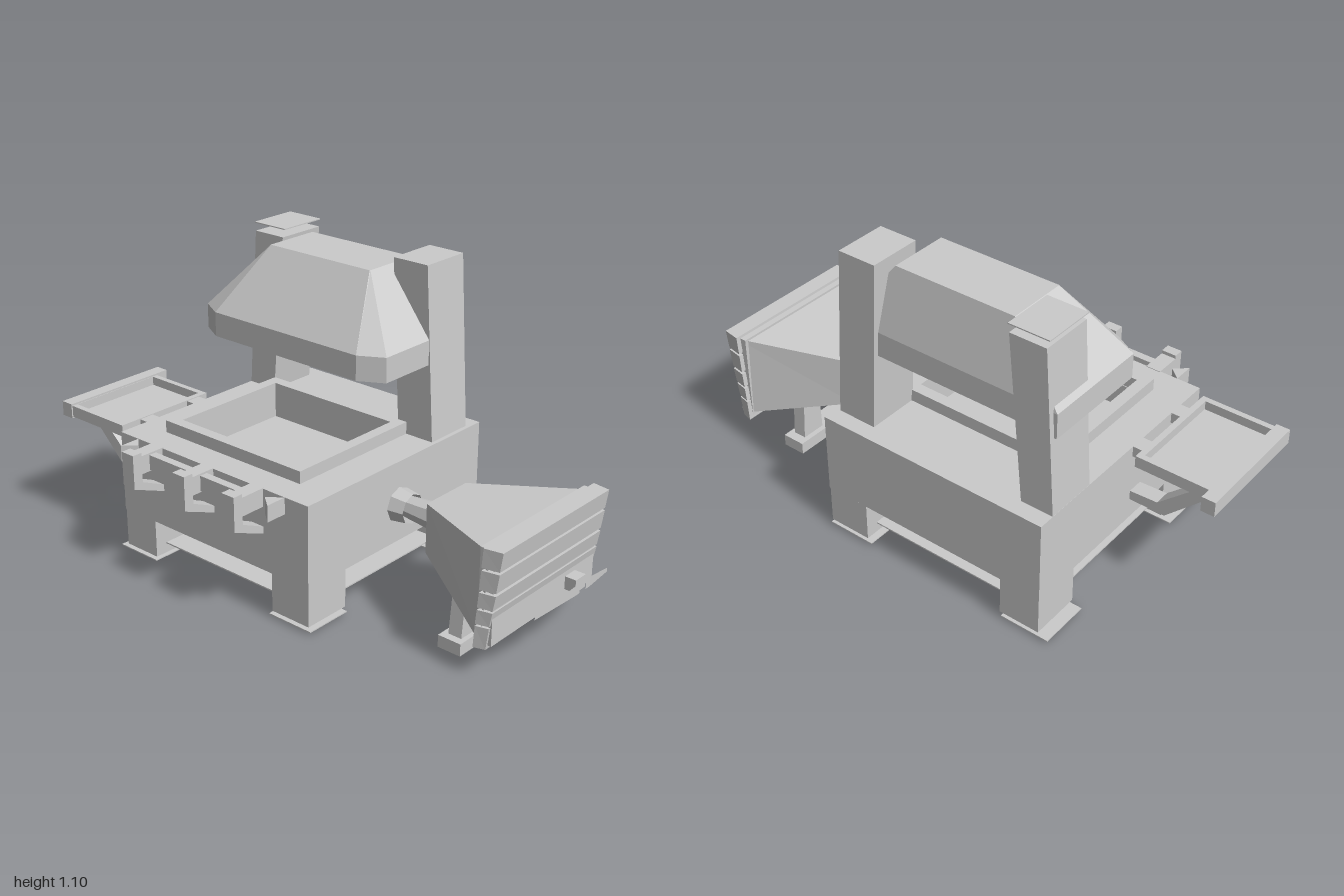
import * as THREE from 'three';

const mat = new THREE.MeshStandardMaterial({ color: 0xcccccc, flatShading: true, side: THREE.DoubleSide });

export function createModel() {
  const model = new THREE.Group();
  const add = (name, geo) => {
    const m = new THREE.Mesh(geo, mat);
    m.name = name;
    model.add(m);
    return m;
  };
  // Box given by its limits on each axis
  const box = (name, x0, x1, y0, y1, z0, z1) =>
    add(name, new THREE.BoxGeometry(x1 - x0, y1 - y0, z1 - z0)
      .translate((x0 + x1) / 2, (y0 + y1) / 2, (z0 + z1) / 2));
  // Flat-sided skin through rings of equal point count, with optional end caps
  const loft = (name, rings, capStart = true, capEnd = true) => {
    const p = [], n = rings[0].length;
    const tri = (a, b, c) => p.push(...a, ...b, ...c);
    for (let r = 0; r < rings.length - 1; r++)
      for (let i = 0; i < n; i++) {
        const j = (i + 1) % n, A = rings[r], B = rings[r + 1];
        tri(A[i], A[j], B[j]);
        tri(A[i], B[j], B[i]);
      }
    const first = rings[0], last = rings[rings.length - 1];
    for (let i = 1; i < n - 1; i++) {
      if (capStart) tri(first[0], first[i + 1], first[i]);
      if (capEnd) tri(last[0], last[i], last[i + 1]);
    }
    const g = new THREE.BufferGeometry();
    g.setAttribute('position', new THREE.Float32BufferAttribute(p, 3));
    g.computeVertexNormals();
    return add(name, g);
  };
  // Rectangular rings, wound to face outward when lofted up y or along x
  const ringY = (y, x0, x1, z0, z1) => [[x0, y, z1], [x1, y, z1], [x1, y, z0], [x0, y, z0]];
  const ringX = (x, y0, y1, z0, z1, lean = 0) =>
    [[x - lean, y0, z0], [x, y1, z0], [x, y1, z1], [x - lean, y0, z1]];
  // Upright rectangular frame with an open centre
  const frame = (name, x0, x1, y0, y1, z0, z1, t) => {
    box(name, x0, x1, y0, y1, z1 - t, z1);
    box(name, x0, x1, y0, y1, z0, z0 + t);
    box(name, x0, x0 + t, y0, y1, z0 + t, z1 - t);
    box(name, x1 - t, x1, y0, y1, z0 + t, z1 - t);
  };
  // Profile in the x-y or z-y plane, extruded to a bar
  const profile = pts => new THREE.Shape(pts.map(p => new THREE.Vector2(...p)));
  const bar = (pts, depth) => new THREE.ExtrudeGeometry(profile(pts), { depth, bevelEnabled: false });

  // Hearth body: solid lower part and a top with a square opening
  box('hearthBody', -0.64, 0.25, 0.17, 0.38, -0.52, 0.39);
  const top = profile([[-0.64, -0.39], [0.25, -0.39], [0.25, 0.52], [-0.64, 0.52]]);
  top.holes.push(profile([[-0.48, -0.24], [-0.48, 0.23], [0.08, 0.23], [0.08, -0.24]]));
  add('hearthTop', new THREE.ExtrudeGeometry(top, { depth: 0.09, bevelEnabled: false })
    .rotateX(-Math.PI / 2).translate(0, 0.38, 0));
  frame('fireBasinRim', -0.52, 0.12, 0.47, 0.515, -0.27, 0.285, 0.042);

  // Legs, loose foot plates and the floor below the hearth
  for (const [x0, x1, px] of [[-0.638, -0.485, -0.675], [0.085, 0.248, 0.07]])
    for (const [z0, z1] of [[-0.518, -0.33], [0.205, 0.388]]) {
      box('leg', x0, x1, 0.027, 0.17, z0, z1);
      box('footPlate', px, px + 0.185, 0.008, 0.012, z0, z1);
    }
  box('lowerFloor', -0.6, 0.21, 0.062, 0.067, -0.47, 0.34);
  box('lowerPanel', -0.49, 0.09, 0.067, 0.17, -0.04, -0.03);

  // Leaning chimney columns
  loft('leftColumn', [ringY(0.46, 0.085, 0.235, -0.46, -0.265), ringY(1.1, 0.05, 0.195, -0.46, -0.265)]);
  loft('rightColumn', [ringY(0.46, -0.64, -0.52, -0.46, -0.265), ringY(1.07, -0.6, -0.465, -0.46, -0.265)]);
  box('columnCap', -0.61, -0.46, 1.097, 1.101, -0.46, -0.27);

  // Smoke hood, open below, with clipped front corners
  const hoodRing = (y, x0, x1, zb, zf, cx, cz) => [
    [x0 + cx, y, zf], [x1 - cx, y, zf], [x1, y, zf - cz], [x1, y, zb], [x0, y, zb], [x0, y, zf - cz]];
  loft('hood', [
    hoodRing(0.75, -0.63, 0.21, -0.44, 0.01, 0.09, 0.05),
    hoodRing(0.84, -0.63, 0.21, -0.44, 0.01, 0.09, 0.05),
    hoodRing(1.072, -0.43, 0.03, -0.385, -0.165, 0.002, 0.002)], false, true);

  // Tool rack on the front: three hooked brackets and a rail
  for (const x of [-0.455, -0.205, 0.025]) {
    box('rackArm', x - 0.028, x + 0.028, 0.405, 0.472, 0.385, 0.49);
    box('rackTab', x - 0.028, x + 0.028, 0.36, 0.485, 0.485, 0.523);
    add('rackStrut', bar([[0.385, 0.305], [0.523, 0.36], [0.485, 0.375], [0.385, 0.33]], 0.056)
      .rotateY(-Math.PI / 2).translate(x + 0.028, 0, 0));
  }
  box('rackRail', -0.43, 0, 0.41, 0.465, 0.42, 0.45);
  for (const [a, b] of [[-0.55, -0.505], [0.15, 0.1]])
    loft('rackEnd', [
      [[a, 0.41, 0.39], [b, 0.41, 0.43], [a, 0.41, 0.47]],
      [[a, 0.47, 0.39], [b, 0.47, 0.43], [a, 0.47, 0.47]]]);

  // Side tray with rim and two bent supports
  box('trayFloor', -0.98, -0.69, 0.43, 0.44, -0.05, 0.345);
  frame('trayRim', -0.97, -0.675, 0.43, 0.473, -0.06, 0.355, 0.022);
  box('trayEdge', -1, -0.95, 0.425, 0.48, -0.11, 0.36);
  for (const z of [-0.02, 0.21]) {
    add('traySupport', bar([[-0.64, 0.25], [-0.775, 0.25], [-0.96, 0.43], [-0.9, 0.43],
      [-0.745, 0.29], [-0.64, 0.285]], 0.06).translate(0, 0, z));
    box('trayLink', -0.69, -0.63, 0.43, 0.47, z, z + 0.06);
  }

  // Bellows: wedge-shaped bag, slatted end and nozzle
  loft('bellowsBag', [ringX(0.45, 0.235, 0.415, -0.175, 0.035), ringX(0.84, 0.13, 0.45, -0.355, 0.23, 0.02)]);
  const slats = [[0.112, 0.19], [0.197, 0.248], [0.256, 0.31], [0.32, 0.388], [0.397, 0.465]];
  slats.forEach(([y0, y1], i) => {
    const s = 0.01 * (4 - i);
    loft('bellowsSlat', [ringX(0.825 - s / 2, y0, y1, -0.368, 0.24, 0.005),
      ringX(0.89 - s, y0, y1, -0.358, 0.228, 0.01)]);
  });
  box('bellowsFold', 0.8, 0.855, 0.125, 0.455, -0.35, 0.22);
  const pipe = (name, r0, r1, x0, x1, y) =>
    add(name, new THREE.CylinderGeometry(r1, r0, x1 - x0, 8, 1, true)
      .rotateZ(-Math.PI / 2).translate((x0 + x1) / 2, y, -0.07));
  pipe('nozzleSleeve', 0.065, 0.055, 0.24, 0.31, 0.31);
  pipe('nozzle', 0.035, 0.055, 0.25, 0.46, 0.315);

  // Bellows handle in two curved halves with a small mount
  for (const [za, zb] of [[-0.275, -0.1], [0.125, -0.04]])
    loft('bellowsHandle', [
      ringX(0.95, 0.218, 0.232, za - 0.006, za + 0.006),
      ringX(0.99, 0.25, 0.285, zb - 0.012, zb + 0.012)]);
  box('handleMount', 0.945, 0.985, 0.255, 0.3, -0.09, -0.035);

  // Bellows stand
  box('standBase', 0.61, 0.7, 0, 0.045, -0.295, 0.165);
  for (const [z0, z1, t0, t1] of [[-0.26, -0.165, -0.25, -0.17], [0.045, 0.137, 0.05, 0.12]])
    loft('standPost', [ringY(0.04, 0.63, 0.682, z0, z1), ringY(0.2, 0.63, 0.682, t0, t1)]);

  return model;
}
